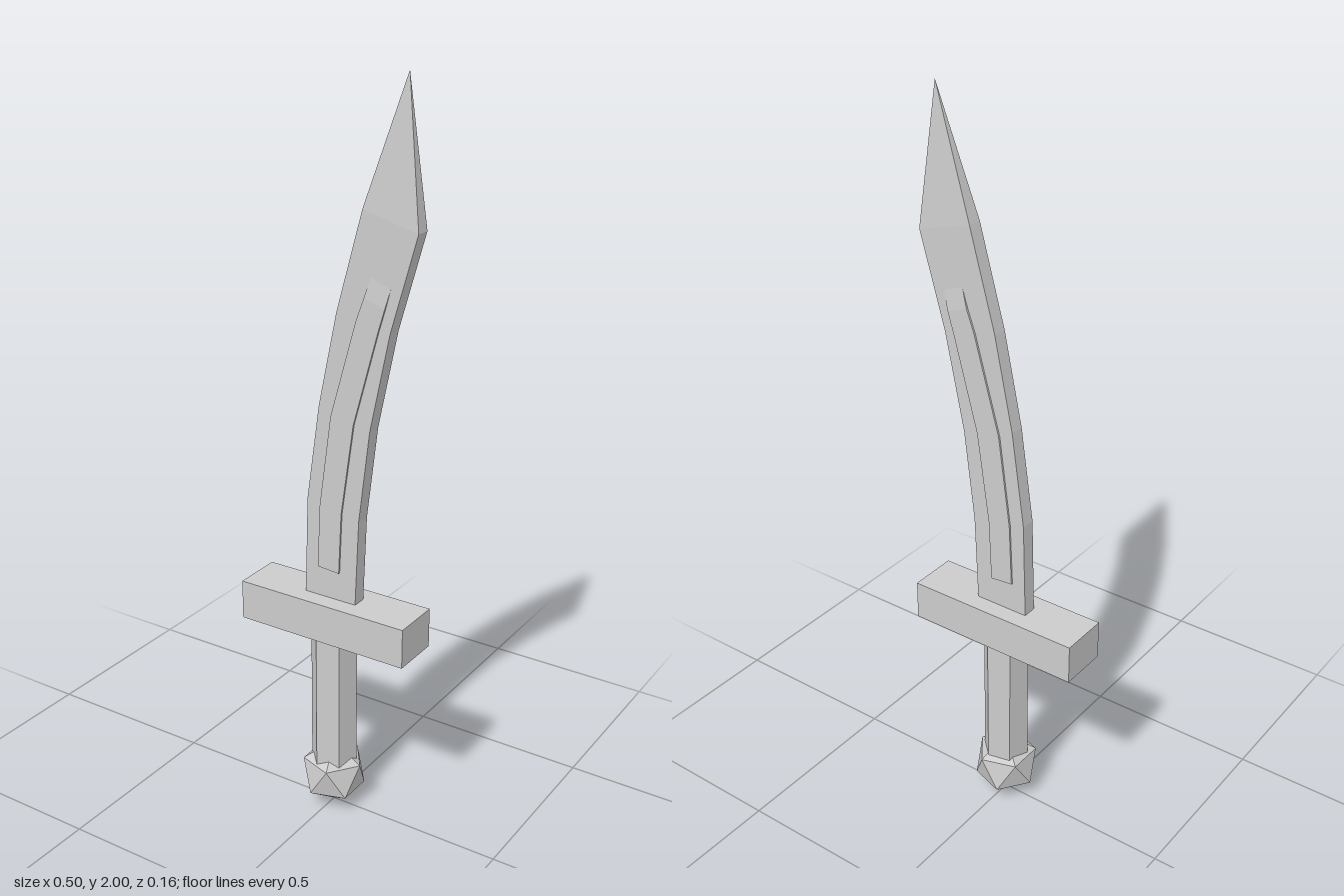
import * as THREE from 'three';

const metal = new THREE.MeshStandardMaterial({ color: 0xcccccc, flatShading: true });
metal.name = 'plain grey';

// Four-cornered sections [leftX, leftY, rightX, rightY, halfThickness] joined from bottom to top.
function loft(sections) {
  const rings = sections.map(([xl, yl, xr, yr, z]) => [
    [xl, yl, z], [xr, yr, z], [xr, yr, -z], [xl, yl, -z],
  ]);
  const pos = [];
  const quad = (a, b, c, d) => pos.push(...a, ...b, ...c, ...a, ...c, ...d);
  for (let i = 0; i < rings.length - 1; i++) {
    const lo = rings[i], hi = rings[i + 1];
    for (let k = 0; k < 4; k++) {
      const n = (k + 1) % 4;
      quad(lo[k], lo[n], hi[n], hi[k]);
    }
  }
  const first = rings[0], last = rings[rings.length - 1];
  quad(first[3], first[2], first[1], first[0]);
  quad(last[0], last[1], last[2], last[3]);
  const geometry = new THREE.BufferGeometry();
  geometry.setAttribute('position', new THREE.Float32BufferAttribute(pos, 3));
  geometry.computeVertexNormals();
  return geometry;
}

export function createModel() {
  const group = new THREE.Group();
  group.name = 'curvedSword';

  const add = (name, geometry, y = 0) => {
    const mesh = new THREE.Mesh(geometry, metal);
    mesh.name = name;
    mesh.position.y = y;
    group.add(mesh);
    return mesh;
  };

  // Pommel: icosahedron turned to stand on one corner
  const pommel = new THREE.IcosahedronGeometry(0.094, 0);
  pommel.rotateZ(-Math.atan(2 / (1 + Math.sqrt(5))));
  add('pommel', pommel, 0.094);

  // Six-sided grip, slightly twisted about its axis
  const grip = add('grip', new THREE.CylinderGeometry(0.064, 0.064, 0.44, 6), 0.33);
  grip.rotation.y = -Math.PI / 12;

  add('crossGuard', new THREE.BoxGeometry(0.5, 0.11, 0.138), 0.585);

  // Blade sweeps toward +x and ends in a point
  add('blade', loft([
    [-0.077, 0.62, 0.077, 0.62, 0.02],
    [-0.069, 0.91, 0.087, 0.88, 0.02],
    [-0.033, 1.17, 0.117, 1.13, 0.02],
    [0.019, 1.42, 0.171, 1.39, 0.02],
    [0.091, 1.68, 0.243, 1.64, 0.02],
    [0.2, 2.0, 0.2, 2.0, 0],
  ]));

  // Raised rib on both faces, sloping into the blade at its upper end
  add('bladeRib', loft([
    [-0.035, 0.725, 0.03, 0.72, 0.025],
    [-0.028, 0.9, 0.037, 0.89, 0.025],
    [0.005, 1.15, 0.072, 1.14, 0.025],
    [0.078, 1.41, 0.14, 1.39, 0.025],
    [0.1, 1.47, 0.158, 1.45, 0.025],
    [0.117, 1.525, 0.173, 1.505, 0.0195],
  ]));

  return group;
}
